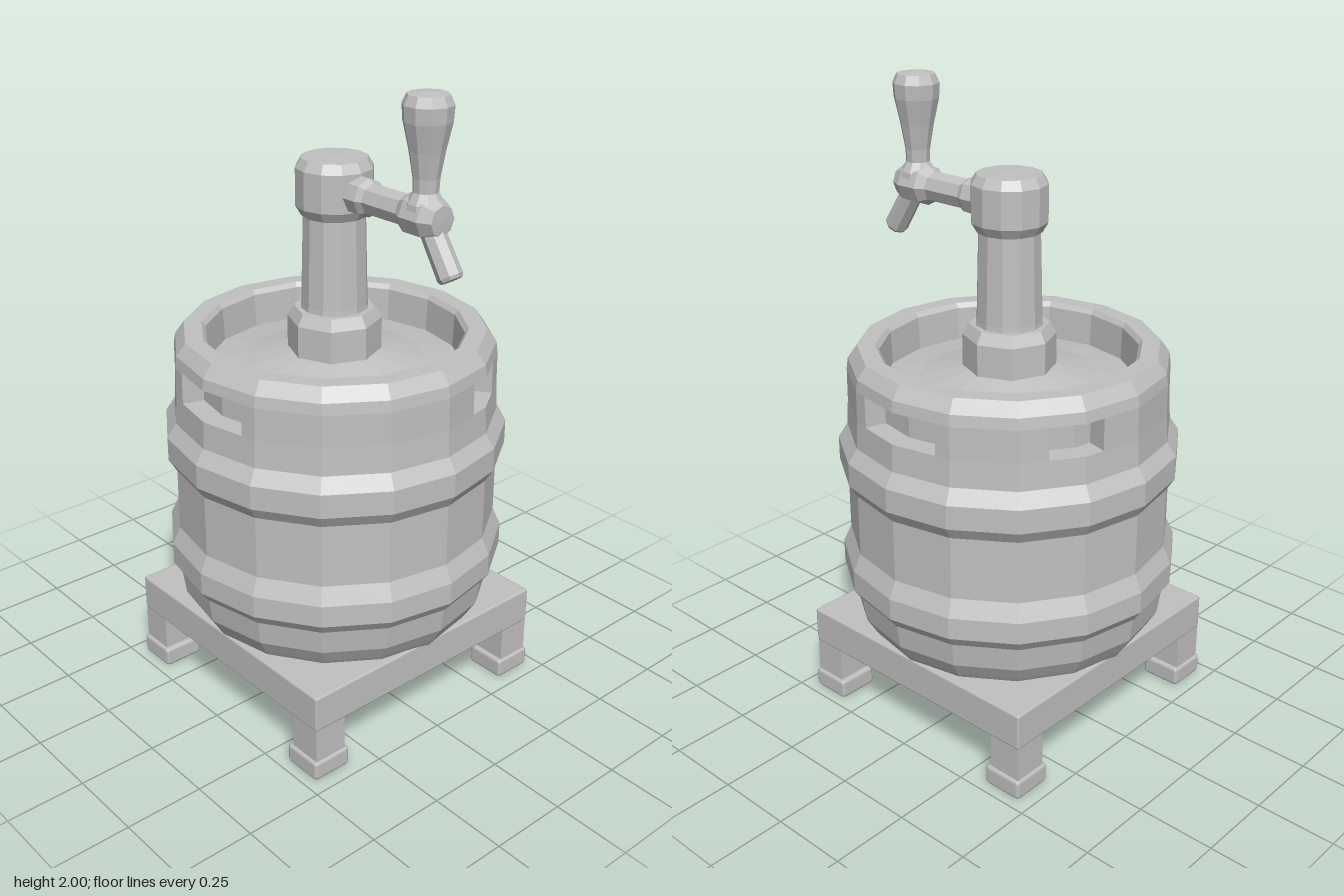
import * as THREE from 'three';
import { RoundedBoxGeometry } from 'three/addons/geometries/RoundedBoxGeometry.js';

const SIDES = 16, STEP = 360 / SIDES;
const rad = THREE.MathUtils.degToRad;

// Barrel outline: radius, height
const LOWER = [[0, 0.28], [0.45, 0.28], [0.47, 0.31], [0.5, 0.36], [0.512, 0.44], [0.537, 0.475],
  [0.537, 0.545], [0.512, 0.6], [0.512, 0.8], [0.537, 0.84], [0.537, 0.915], [0.508, 0.96], [0.503, 1.045]];
const UPPER = [[0.502, 1.145], [0.497, 1.18], [0.468, 1.22], [0.412, 1.22], [0.4, 1.205], [0.395, 1.1],
  [0.28, 1.115], [0.14, 1.15], [0, 1.15]];
const POCKET = [[0.435, 1.045], [0.435, 1.145]];
// Hand holds: centre angle and half width in degrees
const SLOTS = [[0, 17], [65, 10], [180, 17], [295, 10]];

function barrelGeometry() {
  const pos = [];
  const point = ([r, y], deg) => {
    const local = ((deg % STEP) + STEP) % STEP - STEP / 2;
    const k = r * Math.cos(rad(STEP / 2)) / Math.cos(rad(local));
    return [k * Math.cos(rad(deg)), y, k * Math.sin(rad(deg))];
  };
  const quad = (a, b, c, d) => pos.push(...a, ...b, ...c, ...a, ...c, ...d);

  const angles = new Set();
  for (let k = -1; k < SIDES; k++) angles.add(k * STEP);
  for (const [c, h] of SLOTS) angles.add(c - h).add(c + h);
  const list = [...angles].sort((a, b) => a - b);

  // Walls, column by column; columns inside a slot step inwards
  for (let j = 0; j < list.length - 1; j++) {
    const [t0, t1] = [list[j], list[j + 1]];
    const open = SLOTS.some(([c, h]) => Math.abs((t0 + t1) / 2 - c) < h);
    const profile = [...LOWER, ...(open ? POCKET : []), ...UPPER];
    for (let i = 0; i < profile.length - 1; i++) {
      const [p, q] = [profile[i], profile[i + 1]];
      quad(point(p, t0), point(q, t0), point(q, t1), point(p, t1));
    }
  }
  // Slot ends
  const [o1, o2] = [LOWER[LOWER.length - 1], UPPER[0]];
  const [i1, i2] = POCKET;
  for (const [c, h] of SLOTS) {
    quad(...[i1, o1, o2, i2].map((p) => point(p, c - h)));
    quad(...[i2, o2, o1, i1].map((p) => point(p, c + h)));
  }
  const g = new THREE.BufferGeometry();
  g.setAttribute('position', new THREE.Float32BufferAttribute(pos, 3));
  g.computeVertexNormals();
  return g;
}

// Faceted turned part
function turned(points, sides) {
  const g = new THREE.LatheGeometry(points.map(([r, y]) => new THREE.Vector2(r, y)), sides).toNonIndexed();
  g.computeVertexNormals();
  return g;
}

export function createModel() {
  const model = new THREE.Group();
  model.name = 'kegWithTap';
  const steel = new THREE.MeshStandardMaterial({ color: 0xc0c0c0 });
  steel.name = 'brushed steel';

  const add = (name, geometry, x = 0, y = 0, z = 0, parent = model) => {
    const mesh = new THREE.Mesh(geometry, steel);
    mesh.name = name;
    mesh.position.set(x, y, z);
    parent.add(mesh);
    return mesh;
  };

  // Stand
  const stand = new THREE.Group();
  stand.name = 'stand';
  model.add(stand);
  add('standTop', new RoundedBoxGeometry(0.92, 0.12, 0.9, 1, 0.008), 0, 0.235, 0, stand);
  for (const sx of [-1, 1]) {
    for (const sz of [-1, 1]) {
      add('leg', new THREE.BoxGeometry(0.11, 0.2, 0.11), sx * 0.402, 0.13, sz * 0.392, stand);
      add('foot', new RoundedBoxGeometry(0.135, 0.065, 0.135, 1, 0.012), sx * 0.4, 0.0325, sz * 0.388, stand);
    }
  }

  // Barrel
  add('barrel', barrelGeometry());

  // Tower
  add('towerCollar', turned([[0.145, 1.12], [0.145, 1.25], [0.125, 1.285], [0, 1.285]], 8));
  add('towerColumn', turned([[0.106, 1.27], [0.103, 1.3], [0.095, 1.6]], 12));
  add('towerHead', turned([[0, 1.575], [0.1, 1.575], [0.118, 1.605], [0.118, 1.72], [0.1, 1.748], [0, 1.75]], 12));

  // Tap arm and valve, turned along z
  const arm = add('tapArm', turned([[0.058, 0.08], [0.058, 0.15], [0.048, 0.17], [0.048, 0.31],
    [0.064, 0.34], [0.064, 0.41], [0.045, 0.45], [0, 0.452]], 8), 0, 1.655, 0);
  arm.rotation.x = Math.PI / 2;

  // Spout, angled forward and down
  const spout = add('spout', turned([[0, -0.085], [0.032, -0.085], [0.038, -0.075], [0.036, 0.08]], 8), 0, 1.567, 0.445);
  spout.rotation.x = -0.58;

  // Handle
  add('tapHandle', turned([[0.06, 1.66], [0.055, 1.695], [0.037, 1.725], [0.039, 1.765], [0.052, 1.84],
    [0.07, 1.92], [0.073, 1.965], [0.06, 1.993], [0, 2]], 10), 0, 0, 0.382);

  return model;
}
